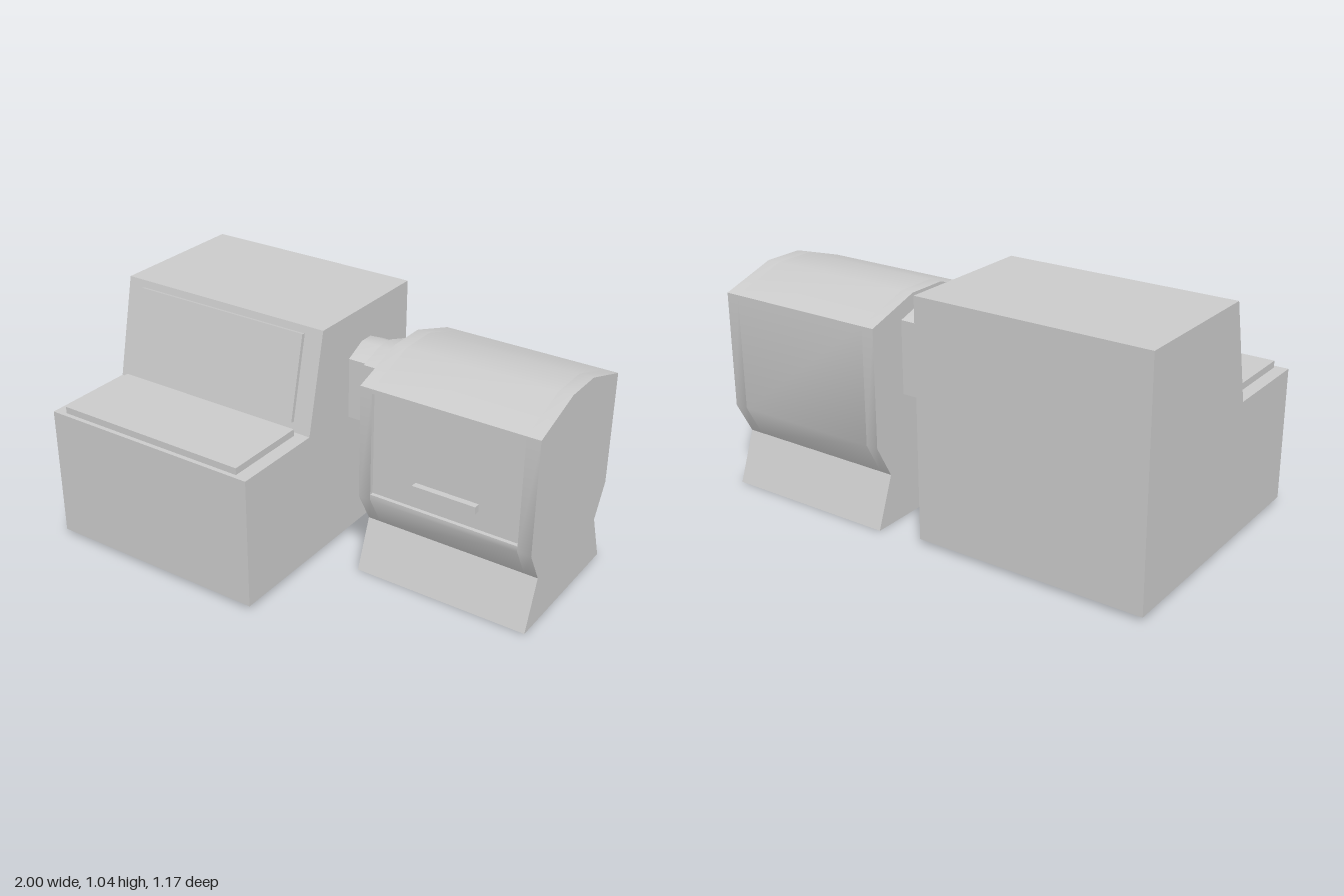
import * as THREE from 'three';
import { toCreasedNormals } from 'three/addons/utils/BufferGeometryUtils.js';

const material = new THREE.MeshStandardMaterial({ color: 0xcccccc });

function add(parent, name, geometry) {
  const mesh = new THREE.Mesh(geometry, material);
  mesh.name = name;
  parent.add(mesh);
  return mesh;
}

// Extrude a [z, y] side profile from x0 to x1
function sideExtrude(profile, x0, x1, crease = 0.6) {
  const shape = new THREE.Shape(profile.map(([z, y]) => new THREE.Vector2(z, y)));
  const geo = new THREE.ExtrudeGeometry(shape, { depth: x1 - x0, bevelEnabled: false });
  geo.rotateY(-Math.PI / 2).translate(x1, 0, 0);
  return toCreasedNormals(geo, crease);
}

// Box given by its extents
function box(x0, x1, y0, y1, z0, z1) {
  return new THREE.BoxGeometry(x1 - x0, y1 - y0, z1 - z0)
    .translate((x0 + x1) / 2, (y0 + y1) / 2, (z0 + z1) / 2);
}

// Upright eight-sided outline with shallow sloped top and bottom
function couplingProfile(z0, z1, y0, y1, slope) {
  const c = (z0 + z1) / 2, f = (z1 - z0) * 0.13;
  return [
    [z1, y0 + slope], [z1, y1 - slope], [c + f, y1], [c - f, y1],
    [z0, y1 - slope], [z0, y0 + slope], [c - f, y0], [c + f, y0],
  ];
}

export function createModel() {
  const model = new THREE.Group();
  model.name = 'machine';

  // Console cabinet with sloped upper front
  const consoleUnit = new THREE.Group();
  consoleUnit.name = 'console';
  model.add(consoleUnit);
  add(consoleUnit, 'consoleCabinet', sideExtrude([
    [0.585, 0.02], [0.585, 0.605], [0.16, 0.605], [0.06, 1.04], [-0.575, 1.04], [-0.575, 0.02],
  ], -1, 0.015, 0.1));
  add(consoleUnit, 'controlPanel', box(-0.945, -0.045, 0.6, 0.635, 0.185, 0.565));

  // Display panel lying on the slope
  const screen = add(consoleUnit, 'screen', new THREE.BoxGeometry(0.845, 0.372, 0.034));
  screen.position.set(-0.4925, 0.828, 0.1087);
  screen.rotation.x = -Math.atan2(0.1, 0.435);

  // Stepped coupling between the two units
  add(model, 'couplingNeck', sideExtrude(couplingProfile(-0.38, -0.125, 0.53, 0.89, 0.045), 0.01, 0.115));
  add(model, 'couplingCollar', sideExtrude(couplingProfile(-0.41, -0.09, 0.505, 0.895, 0.038), 0.11, 0.22));

  // Chamber: waisted foot, arched roof, recessed door in the middle section
  const chamber = new THREE.Group();
  chamber.name = 'chamber';
  model.add(chamber);
  const foot = [[0.095, 0], [0.015, 0.22], [0.095, 0.365]];
  const recess = [[0.095, 0.39], [0.077, 0.39], [0.077, 0.85], [0.095, 0.85]];
  const upper = [
    [0.095, 0.87], [-0.155, 0.95], [-0.335, 0.95], [-0.583, 0.87],
    [-0.583, 0.365], [-0.505, 0.22], [-0.587, 0],
  ];
  const full = [...foot, ...upper];
  add(chamber, 'chamberRightEnd', sideExtrude(full, 0.215, 0.27));
  add(chamber, 'chamberMiddle', sideExtrude([...foot, ...recess, ...upper], 0.27, 0.94));
  add(chamber, 'chamberLeftEnd', sideExtrude(full, 0.94, 1));
  add(chamber, 'doorHandle', box(0.47, 0.755, 0.472, 0.505, 0.07, 0.105));

  return model;
}
